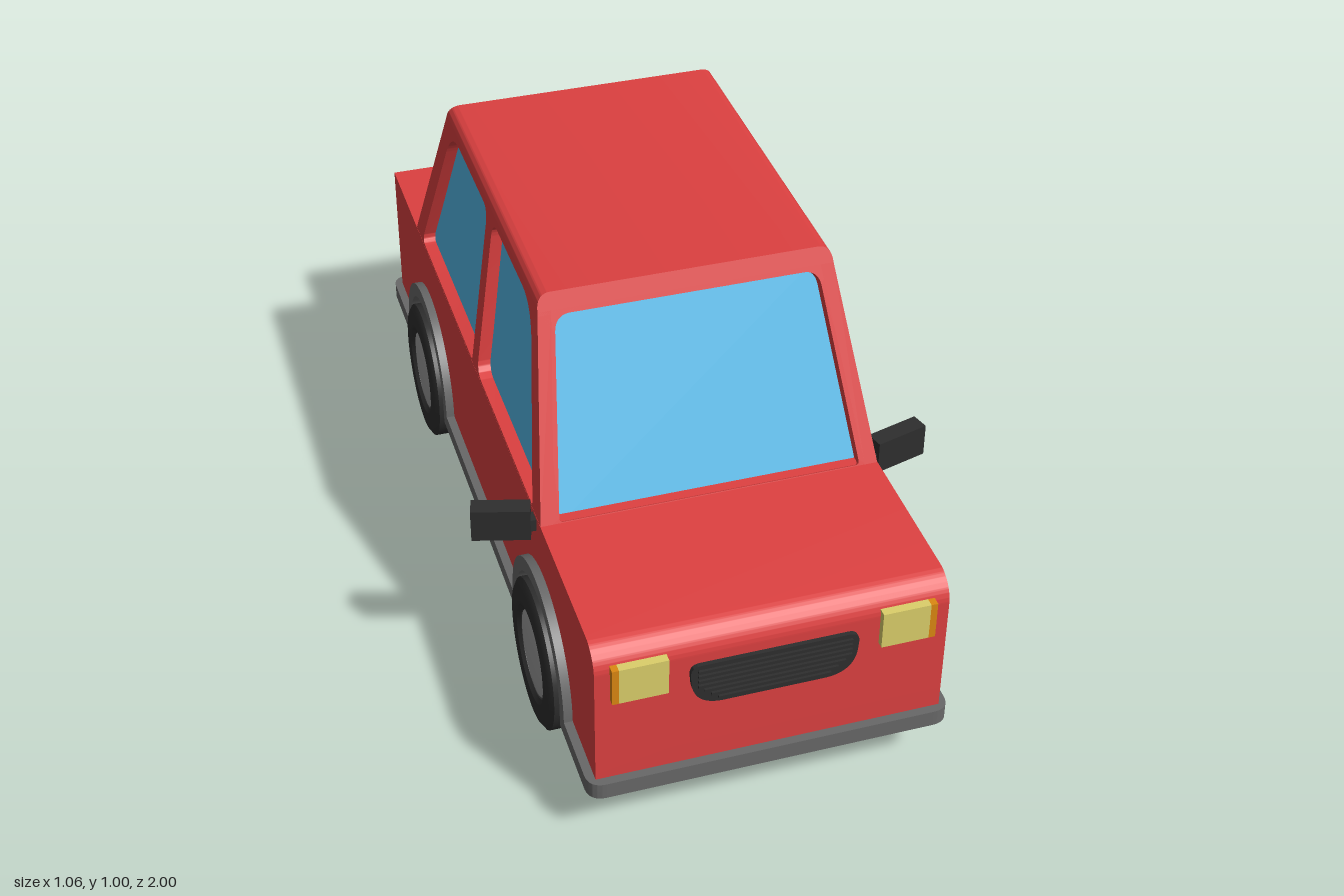
import * as THREE from 'three';
import { toCreasedNormals } from 'three/addons/utils/BufferGeometryUtils.js';

const mat = (name, color) => {
  const m = new THREE.MeshStandardMaterial({ color });
  m.name = name;
  return m;
};

export function createModel() {
  const car = new THREE.Group();
  car.name = 'car';
  const red = mat('paint red', 0xdc4040);
  const blue = mat('glass blue', 0x56bbea);
  const grey = mat('trim grey', 0x686868);
  const black = mat('rubber black', 0x2e2e2e);
  const silver = mat('hub silver', 0x9c9c9c);
  const white = mat('plate white', 0xd8d8d8);
  const yellow = mat('headlight yellow', 0xdccf6a);
  const orange = mat('indicator orange', 0xdc8812);

  const add = (name, geo, material, parent = car) => {
    const mesh = new THREE.Mesh(geo, material);
    mesh.name = name;
    parent.add(mesh);
    return mesh;
  };
  const box = (name, w, h, d, x, y, z, material, parent) => {
    const mesh = add(name, new THREE.BoxGeometry(w, h, d), material, parent);
    mesh.position.set(x, y, z);
    return mesh;
  };
  const extrude = (shape, depth) =>
    new THREE.ExtrudeGeometry(shape, { depth, bevelEnabled: false, curveSegments: 24 });
  const creased = (geo) => toCreasedNormals(geo, 0.6);
  // Moves every vertex by a rule
  const warp = (geo, rule) => {
    const p = geo.attributes.position;
    const v = new THREE.Vector3();
    for (let i = 0; i < p.count; i++) {
      rule(v.fromBufferAttribute(p, i));
      p.setXYZ(i, v.x, v.y, v.z);
    }
    return creased(geo);
  };
  // Polygon from [x, y, cornerRadius] points
  const rounded = (pts, s = new THREE.Shape()) => {
    pts.forEach(([x, y, r = 0], i) => {
      const c = new THREE.Vector2(x, y);
      const toward = (q) => {
        const d = new THREE.Vector2(q[0], q[1]).sub(c).setLength(r);
        return d.add(c);
      };
      const a = toward(pts[(i + pts.length - 1) % pts.length]);
      const b = toward(pts[(i + 1) % pts.length]);
      if (i === 0) s.moveTo(a.x, a.y); else s.lineTo(a.x, a.y);
      if (r) s.quadraticCurveTo(x, y, b.x, b.y);
    });
    s.closePath();
    return s;
  };

  // Side profile (z, y) extruded across the full width
  const across = (shape, half) =>
    creased(extrude(shape, half * 2).rotateY(-Math.PI / 2).translate(half, 0, 0));
  const axles = [0.575, -0.56];
  const archY = 0.18;

  // Lower body with wheel cut-outs
  const body = new THREE.Shape();
  body.moveTo(0.98, 0.16);
  axles.forEach((z) => {
    body.lineTo(z + 0.205, 0.16);
    body.lineTo(z + 0.205, archY);
    body.absarc(z, archY, 0.205, 0, Math.PI, false);
    body.lineTo(z - 0.205, 0.16);
  });
  body.lineTo(-0.97, 0.16);
  body.lineTo(-0.97, 0.535);
  body.lineTo(0.92, 0.535);
  body.absarc(0.92, 0.475, 0.06, Math.PI / 2, 0, true);
  body.closePath();
  add('lowerBody', across(body, 0.39), red);

  // Skirt, floor and wheel arches in one band
  const skirt = new THREE.Shape();
  skirt.moveTo(0.95, 0.14);
  axles.forEach((z) => {
    skirt.lineTo(z + 0.19, 0.14);
    skirt.absarc(z, archY, 0.19, 0, Math.PI, false);
    skirt.lineTo(z - 0.19, 0.14);
  });
  skirt.lineTo(-0.95, 0.14);
  skirt.lineTo(-0.95, 0.18);
  [...axles].reverse().forEach((z) => skirt.absarc(z, archY, 0.225, Math.PI, 0, true));
  skirt.lineTo(0.95, 0.18);
  skirt.closePath();
  add('skirtAndArches', across(skirt, 0.41), grey);

  // Bumpers with rounded corners
  const bumper = rounded([[-0.41, 0.95], [0.41, 0.95], [0.41, 1, 0.04], [-0.41, 1, 0.04]]);
  [1, -1].forEach((s) => {
    const geo = extrude(bumper, 0.04).rotateX(Math.PI / 2).translate(0, 0.18, 0);
    if (s < 0) geo.rotateY(Math.PI);
    add(s > 0 ? 'frontBumper' : 'rearBumper', creased(geo), grey);
  });

  // Cabin outline as functions of height
  const halfW = (y) => Math.min(0.39, 0.39 - 0.13 * (y - 0.535));
  const zFront = (y) => 0.56 - 0.45 * (y - 0.535);
  const zRear = (y) => -0.69 + 0.462 * (y - 0.535);
  const T = 0.03;

  // Side panels, each with two window openings
  [1, -1].forEach((s) => {
    const flip = (pts) => pts.map(([z, y, r]) => [-s * z, y, r]);
    const shape = rounded(flip([
      [zFront(0.53), 0.53], [zFront(0.96), 0.96], [zRear(0.96), 0.96], [zRear(0.53), 0.53]]));
    shape.holes.push(
      rounded(flip([[0.49, 0.54, 0.01], [0.32, 0.95, 0.08], [-0.025, 0.95, 0.045], [-0.025, 0.54, 0.04]]), new THREE.Path()),
      rounded(flip([[-0.075, 0.54, 0.01], [-0.075, 0.95, 0.04], [-0.435, 0.95, 0.08], [-0.62, 0.54, 0.03]]), new THREE.Path()));
    const geo = extrude(shape, T).rotateY(s * Math.PI / 2);
    add(s > 0 ? 'leftCabinSide' : 'rightCabinSide',
      warp(geo, (v) => { v.x = s * (Math.abs(v.x) - T + halfW(v.y)); }), red);
  });

  // Windshield and rear window frames
  [1, -1].forEach((s) => {
    const shape = rounded([
      [-halfW(0.52), 0.52], [halfW(0.52), 0.52], [halfW(0.96), 0.96], [-halfW(0.96), 0.96]]);
    shape.holes.push(rounded([
      [-0.347, 0.537, 0.01], [0.347, 0.537, 0.01], [0.298, 0.95, 0.035], [-0.298, 0.95, 0.035]], new THREE.Path()));
    const geo = extrude(shape, T);
    if (s < 0) geo.rotateY(Math.PI);
    add(s > 0 ? 'windshieldFrame' : 'rearWindowFrame', warp(geo, (v) => {
      const d = T - Math.abs(v.z);
      v.z = (s > 0 ? zFront(v.y) : zRear(v.y)) - s * 0.91 * d;
      v.y -= 0.41 * d;
    }), red);
  });

  // Roof with rounded long edges
  const w0 = halfW(0.952), w1 = halfW(0.99);
  const roof = rounded([[-w0, 0.952], [w0, 0.952], [w1, 0.997, 0.03], [-w1, 0.997, 0.03]]);
  add('roof', warp(extrude(roof, 1), (v) => {
    v.z = zRear(v.y) + v.z * (zFront(v.y) - zRear(v.y));
  }), red);

  // Recessed glass
  const glass = new THREE.BoxGeometry(1, 0.46, 1).translate(0, 0.73, 0);
  add('windowGlass', warp(glass, (v) => {
    v.x = Math.sign(v.x) * (halfW(v.y) - 0.027);
    v.z = v.z > 0 ? zFront(v.y) - 0.03 : zRear(v.y) + 0.03;
  }), blue);

  // Wheels and axles
  const tyre = [[0.1, 0.02], [0.105, 0.1], [0.115, 0.108], [0.16, 0.108], [0.175, 0.098], [0.175, 0], [0, 0]]
    .reverse().map(([r, h]) => new THREE.Vector2(r, h));
  const dome = [[0.107, 0.09], [0.1, 0.1], [0.06, 0.106], [0, 0.108]].map(([r, h]) => new THREE.Vector2(r, h));
  axles.forEach((z, i) => {
    const y = i ? 0.175 : 0.185;
    const end = i ? 'rear' : 'front';
    [1, -1].forEach((s) => {
      const wheel = new THREE.Group();
      wheel.name = end + (s > 0 ? 'LeftWheel' : 'RightWheel');
      wheel.position.set(s * 0.32, y, z);
      wheel.rotation.z = -s * Math.PI / 2;
      add('tyre', creased(new THREE.LatheGeometry(tyre, 40)), black, wheel);
      add('hub', new THREE.LatheGeometry(dome, 40), silver, wheel);
      car.add(wheel);
    });
    [['Axle', 0.028, 0.66], ['AxleHousing', 0.058, 0.24]].forEach(([n, r, len]) => {
      const m = add(end + n, new THREE.CylinderGeometry(r, r, len, 24), black);
      m.rotation.z = Math.PI / 2;
      m.position.set(0, y + 0.005, z);
    });
  });

  // Grille with slats
  const grille = rounded([[-0.187, 0.455, 0.025], [-0.18, 0.345, 0.07], [0.18, 0.345, 0.07], [0.187, 0.455, 0.025]]);
  add('grille', creased(extrude(grille, 0.012).translate(0, 0, 0.978)), black);
  for (let i = 0; i < 7; i++) {
    const y = 0.36 + i * 0.0135;
    box('grilleSlat', 2 * Math.min(0.17, 0.125 + i * 0.016), 0.006, 0.008, 0, y, 0.992, black);
  }

  // Lights, number plate and mirrors
  [1, -1].forEach((s) => {
    box('headlight', 0.107, 0.092, 0.02, s * 0.288, 0.45, 0.986, yellow);
    box('indicator', 0.015, 0.092, 0.02, s * 0.349, 0.45, 0.986, orange);
    box('tailLight', 0.115, 0.09, 0.022, s * 0.3, 0.455, -0.978, red);

    const mirror = new THREE.Group();
    mirror.name = s > 0 ? 'leftMirror' : 'rightMirror';
    mirror.position.set(s * 0.462, 0.52, 0.495);
    mirror.rotation.y = s * 0.27;
    box('mirrorHousing', 0.13, 0.08, 0.042, 0, 0, 0, black, mirror);
    box('mirrorGlass', 0.095, 0.05, 0.004, 0, 0, -0.022, silver, mirror);
    car.add(mirror);
    box('mirrorStem', 0.04, 0.03, 0.03, s * 0.395, 0.512, 0.51, black);
  });
  box('rearPlate', 0.23, 0.13, 0.016, 0, 0.33, -0.976, white);

  return car;
}
